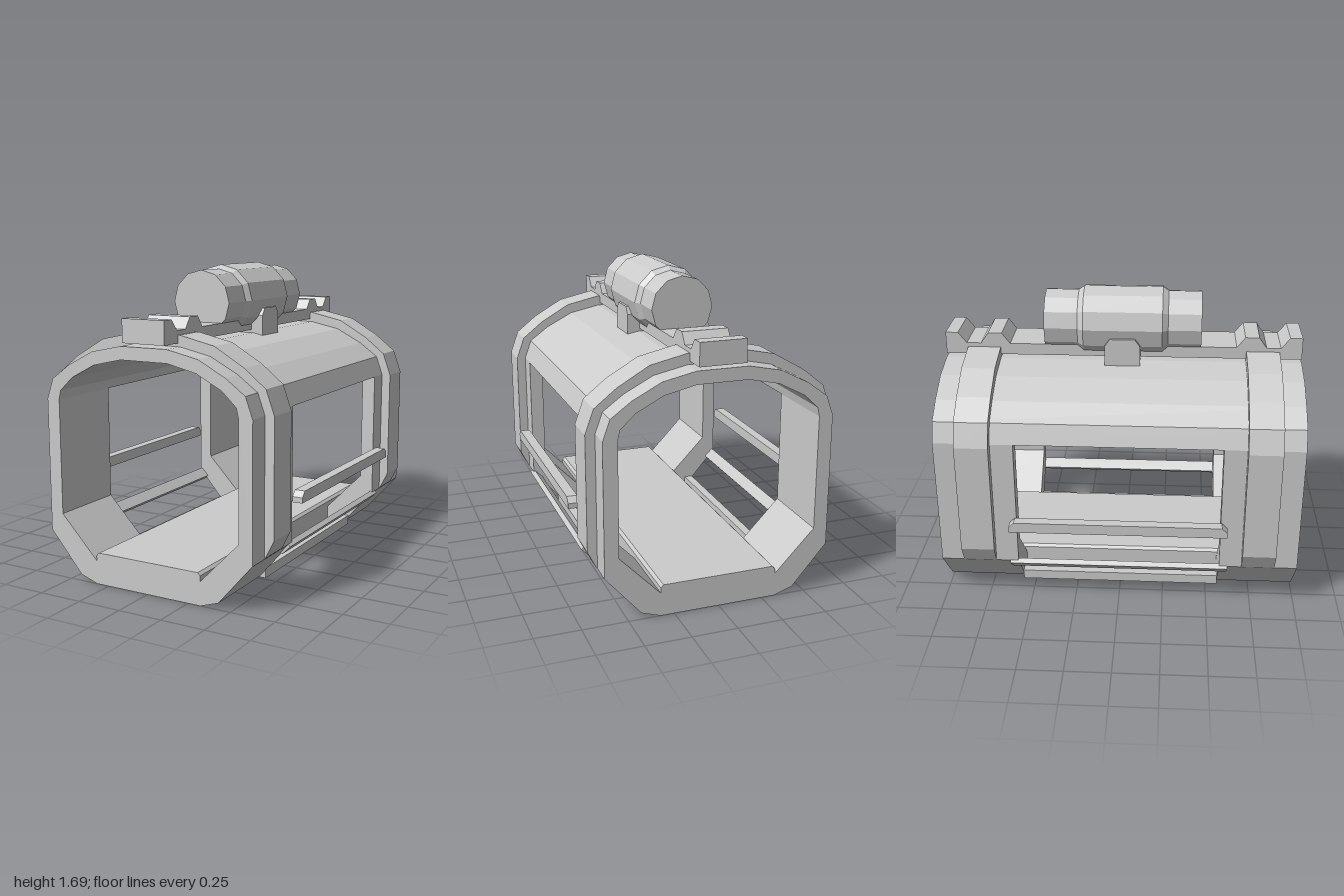
import * as THREE from 'three';

export function createModel() {
  const group = new THREE.Group();
  const grey = new THREE.MeshStandardMaterial({ color: 0xcccccc, flatShading: true });
  grey.name = 'plainGrey';

  const add = (name, geometry) => {
    const mesh = new THREE.Mesh(geometry, grey);
    mesh.name = name;
    group.add(mesh);
    return mesh;
  };
  const mirrorX = (points) => points.map(([x, y]) => [-x, y]).reverse();
  // Extrude an outline of x, y points from z0 to z1
  const prism = (points, z0, z1) => {
    const shape = new THREE.Shape(points.map(([x, y]) => new THREE.Vector2(x, y)));
    const geometry = new THREE.ExtrudeGeometry(shape, { depth: z1 - z0, bevelEnabled: false });
    return geometry.translate(0, 0, z0);
  };
  // Extrude an outline of z, y points across x0 to x1
  const sidePrism = (points, x0, x1) =>
    prism(points.map(([z, y]) => [-z, y]), x0, x1).rotateY(Math.PI / 2);
  // Arch between an outer and an inner half profile, each listed bottom to top
  const arch = (outer, inner) => [
    ...outer, ...mirrorX(outer), ...inner.map(([x, y]) => [-x, y]), ...mirrorX(inner).map(([x, y]) => [-x, y]).map(([x, y]) => [-x, y]).map(([x, y]) => [-x, y]),
  ];

  const shellOuter = [[0.625, 0.99], [0.585, 1.1], [0.475, 1.18], [0.32, 1.26], [0.14, 1.298]];
  const shellInner = [[0.547, 0.99], [0.535, 1.04], [0.455, 1.115], [0.31, 1.19], [0.14, 1.228]];
  const collarOuter = [[0.63, 0.265], [0.677, 0.36], [0.677, 0.99], [0.63, 1.12], [0.51, 1.215], [0.34, 1.313], [0.14, 1.357]];

  // Long roof and floor
  add('roofShell', prism(arch(shellOuter, shellInner), -1, 1));
  const floorHalf = [[0.325, 0], [0.325, 0.16], [0.31, 0.175]];
  add('floor', prism([...floorHalf, ...mirrorX(floorHalf)], -1, 1));

  // End frames on both sides, leaving the side windows open
  const frameHalf = [[0.325, 0], [0.43, 0.035], [0.625, 0.26], [0.625, 0.99], [0.547, 0.99], [0.547, 0.36], [0.325, 0.13]];
  for (const [end, z0, z1] of [['front', 0.565, 1], ['back', -1, -0.565]]) {
    add(end + 'LeftFrame', prism(frameHalf, z0, z1));
    add(end + 'RightFrame', prism(mirrorX(frameHalf), z0, z1));
  }

  // Raised collars around the frames
  const collar = arch(collarOuter, [[0.62, 0.265], ...shellOuter.map(([x, y]) => [x - 0.005, y - 0.005])]);
  add('frontCollar', prism(collar, 0.69, 0.875));
  add('backCollar', prism(collar, -0.875, -0.69));

  // Side bars
  const barOutline = [[-0.6, 0.49], [0.6, 0.49], [0.6, 0.52], [0.57, 0.55], [-0.57, 0.55], [-0.6, 0.52]];
  for (const [side, s] of [['left', 1], ['right', -1]]) {
    add(side + 'SideBar', sidePrism(barOutline, s > 0 ? 0.643 : -0.7, s > 0 ? 0.7 : -0.643));
    const slopedBar = add(side + 'SlopedBar', new THREE.BoxGeometry(0.068, 0.03, 1.22));
    slopedBar.position.set(s * 0.603, 0.236, 0);
    slopedBar.rotation.z = s * Math.PI / 4;
    const lowerBar = add(side + 'LowerBar', new THREE.BoxGeometry(0.05, 0.055, 1.13));
    lowerBar.position.set(s * 0.445, 0.0625, 0);
  }

  // Top rail with two teeth at each end
  const railHalf = [[1, 1.315], [1, 1.44], [0.93, 1.44], [0.882, 1.38], [0.802, 1.38], [0.76, 1.44], [0.682, 1.44], [0.636, 1.38]];
  add('topRail', sidePrism([...railHalf, ...mirrorX(railHalf)], -0.127, 0.127));

  // Sight tube and its clamp
  const tubeProfile = [
    [0, -0.437], [0.174, -0.437], [0.174, -0.252], [0.197, -0.22],
    [0.197, 0.22], [0.174, 0.252], [0.174, 0.437], [0, 0.437],
  ].map(([r, y]) => new THREE.Vector2(r, y));
  const tube = add('sightTube', new THREE.LatheGeometry(tubeProfile, 12));
  tube.rotation.x = Math.PI / 2;
  tube.position.y = 1.49;
  const clampHalf = [[0.098, 1.285], [0.098, 1.4], [0.07, 1.44]];
  add('sightClamp', sidePrism([...clampHalf, ...mirrorX(clampHalf)], -0.198, 0.198));

  return group;
}
